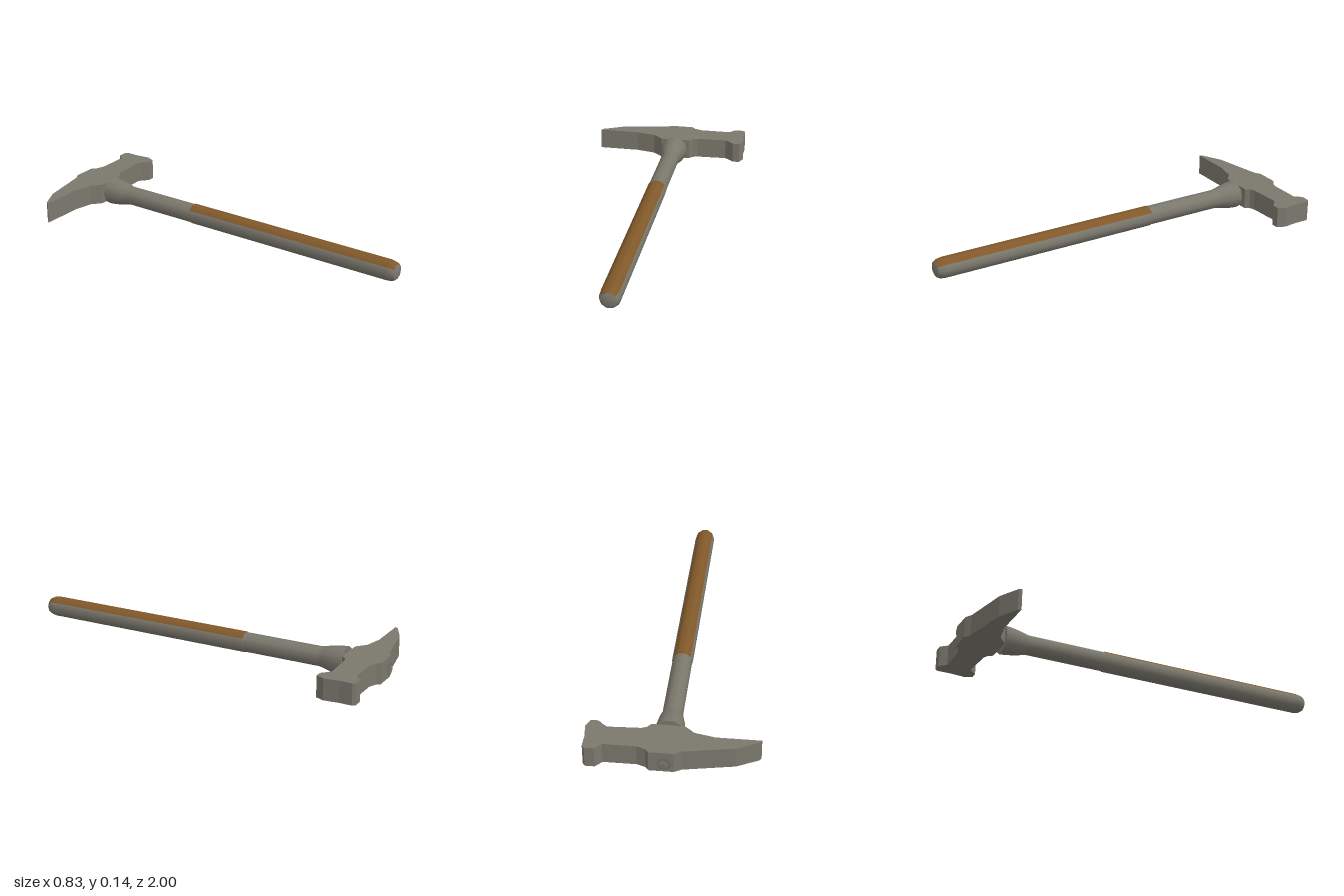
import * as THREE from 'three';

const CX = 0.025, CY = 0.073; // handle axis

export function createModel() {
  const group = new THREE.Group();
  const steel = new THREE.MeshStandardMaterial({ color: 0x7b786d });
  steel.name = 'grey steel';
  const wood = new THREE.MeshStandardMaterial({ color: 0x82592a });
  wood.name = 'brown grip';

  const add = (name, geometry, material) => {
    const mesh = new THREE.Mesh(geometry, material);
    mesh.name = name;
    group.add(mesh);
  };

  // Ten-sided turned part along z; profile is [radius, z] with z rising.
  // "from" counts facets round from the edge of the three top ones.
  const turned = (profile, from = 0, count = 10) => {
    const step = Math.PI / 5;
    const points = profile.map(([r, z]) => new THREE.Vector2(r, z));
    return new THREE.LatheGeometry(points, count, Math.PI + (from - 1.5) * step, count * step)
      .rotateX(Math.PI / 2)
      .translate(CX, CY, 0);
  };

  // Neck of the handle, flaring into a collar below the head
  add('collarFace', turned([[0, -0.77], [0.074, -0.77]]), steel);
  add('handleNeck', turned([
    [0.074, -0.77], [0.071, -0.735], [0.064, -0.69], [0.055, -0.655],
    [0.05, -0.63], [0.05, -0.22], [0.053, -0.215],
  ]), steel);

  // Grip: three brown facets on top, grey below, rounded butt
  const grip = [[0.053, -0.215], [0.053, 0.95], [0.049, 0.975], [0.04, 0.991]];
  add('gripInlay', turned(grip, 0, 3), wood);
  add('gripBody', turned(grip, 3, 7), steel);
  add('gripButt', turned([[0.04, 0.991], [0.024, 0.998], [0, 1]]), steel);

  // Head outline as [x, z]: pick to the left of the plan, square poll to the right
  const outline = [
    [-0.415, -0.845], [-0.405, -0.86], [-0.3, -0.913], [-0.056, -0.96],
    [-0.02, -0.98], [0.098, -0.98], [0.114, -0.96], [0.156, -0.945],
    [0.315, -0.945], [0.347, -0.98], [0.394, -0.98], [0.405, -0.965],
    [0.404, -0.9], [0.413, -0.823], [0.394, -0.78], [0.357, -0.78],
    [0.328, -0.808], [0.31, -0.82], [0.15, -0.813], [0.124, -0.802],
    [0.108, -0.78], [-0.05, -0.78], [-0.1, -0.823], [-0.2, -0.845],
  ];
  const shape = new THREE.Shape(outline.map(([x, z]) => new THREE.Vector2(x, z)));
  add('hammerHead', new THREE.ExtrudeGeometry(shape, { depth: 0.109, bevelEnabled: false })
    .rotateX(Math.PI / 2)
    .translate(0, 0.127, 0), steel);

  // Small domed end of the handle behind the head
  add('endCap', turned([[0, -1], [0.024, -0.999], [0.033, -0.995], [0, -0.994]]), steel);

  return group;
}
